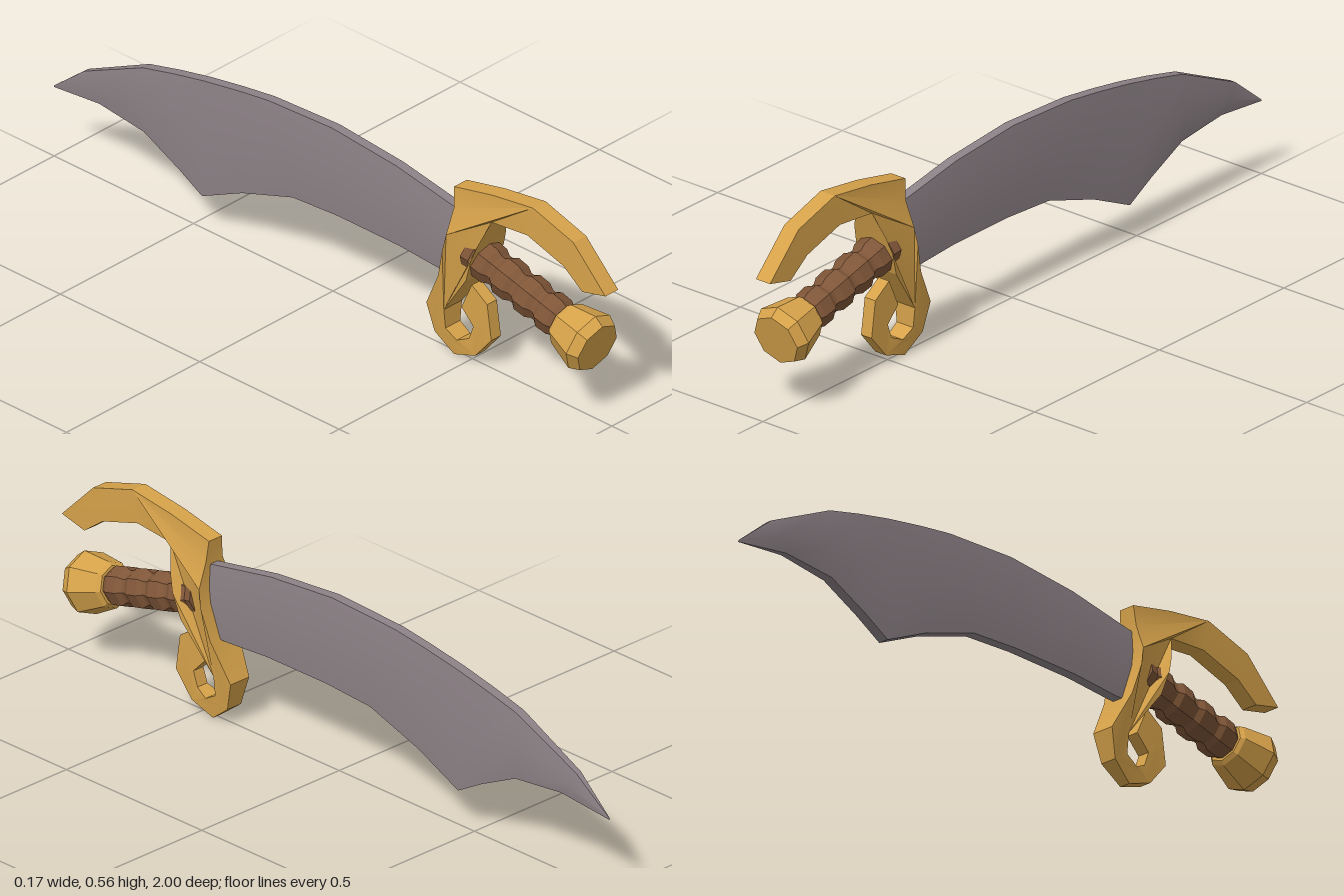
import * as THREE from 'three';
import { toCreasedNormals } from 'three/addons/utils/BufferGeometryUtils.js';

const gold = new THREE.MeshStandardMaterial({ color: 0xd6a24a });
gold.name = 'gold';
const steel = new THREE.MeshStandardMaterial({ color: 0x8d8287 });
steel.name = 'steel';
const leather = new THREE.MeshStandardMaterial({ color: 0x805638 });
leather.name = 'leather';

function addMesh(parent, name, geometry, material) {
  const mesh = new THREE.Mesh(geometry, material);
  mesh.name = name;
  parent.add(mesh);
  return mesh;
}

// Faceted eight-sided turned part; profile is [radius, distance along the axis]
function turned(profile) {
  const lathe = new THREE.LatheGeometry(profile.map(([r, s]) => new THREE.Vector2(r, s)), 8);
  return toCreasedNormals(lathe, 0.02);
}

// Blade: six-point sections, thickest at mid height, tapering to the tip
function bladeGeometry() {
  // [spine z, spine y, edge z, edge y, thickness scale]
  const stations = [
    [0.5, 0.43, 0.45, 0.235, 1],
    [0.46, 0.44, 0.4, 0.235, 1],
    [0.24, 0.48, 0.25, 0.245, 1],
    [0.01, 0.5, 0.03, 0.245, 1],
    [-0.22, 0.49, -0.13, 0.235, 1],
    [-0.33, 0.475, -0.31, 0.175, 1],
    [-0.45, 0.455, -0.455, 0.107, 1],
    [-0.56, 0.432, -0.54, 0.155, 1],
    [-0.67, 0.405, -0.665, 0.215, 0.95],
    [-0.885, 0.305, -0.83, 0.23, 0.6],
    [-1, 0.212, -1, 0.208, 0.05],
  ];
  const ring = [[0.014, 0], [0.024, 0.5], [0.015, 1], [-0.015, 1], [-0.024, 0.5], [-0.014, 0]];
  const positions = [];
  const index = [];
  stations.forEach(([zt, yt, zb, yb, k], i) => {
    ring.forEach(([x, f], j) => {
      positions.push(x * k, yt + (yb - yt) * f, zt + (zb - zt) * f);
      if (i === 0) return;
      const n = (j + 1) % 6;
      const a = (i - 1) * 6 + j, b = (i - 1) * 6 + n, c = i * 6 + n, d = i * 6 + j;
      index.push(a, b, d, b, c, d);
    });
  });
  const geometry = new THREE.BufferGeometry();
  geometry.setAttribute('position', new THREE.Float32BufferAttribute(positions, 3));
  geometry.setIndex(index);
  return toCreasedNormals(geometry, 0.5);
}

// Half width of the guard: slim on the bow and curl, swelling around the grip
function guardHalfWidth(z, y) {
  if (z > 0.6) return 0.024;
  if (z > 0.475 && y < 0.25) return 0.018;
  const steps = [[0, 0.016], [0.05, 0.025], [0.15, 0.036], [0.3, 0.06], [0.34, 0.062],
    [0.38, 0.057], [0.455, 0.028], [0.51, 0.024], [0.6, 0.024]];
  const i = Math.max(1, steps.findIndex((s) => s[0] >= y));
  const [y0, w0] = steps[i - 1];
  const [y1, w1] = steps[i];
  return w0 + ((w1 - w0) * (y - y0)) / (y1 - y0);
}

// Guard: one outline of knuckle bow, crosspiece and lower curl, given as [z, y]
function guardGeometry() {
  const outline = [
    [1, 0.4], [0.885, 0.515], [0.74, 0.56], [0.595, 0.54], [0.457, 0.51],
    [0.462, 0.45], [0.46, 0.38], [0.45, 0.33], [0.425, 0.24], [0.367, 0.13], [0.388, 0.048],
    [0.45, 0], [0.527, 0.027], [0.585, 0.096], [0.57, 0.198], [0.515, 0.235],
    [0.478, 0.155], [0.52, 0.112], [0.505, 0.07], [0.468, 0.053], [0.43, 0.075],
    [0.43, 0.133], [0.53, 0.27], [0.553, 0.34], [0.57, 0.39], [0.595, 0.46],
    [0.72, 0.47], [0.85, 0.43], [0.917, 0.38],
  ];
  const shape = new THREE.Shape(outline.map(([z, y]) => new THREE.Vector2(z, y)));
  const geometry = new THREE.ExtrudeGeometry(shape, { depth: 1, bevelEnabled: false });
  geometry.translate(0, 0, -0.5).rotateY(-Math.PI / 2);
  const p = geometry.attributes.position;
  for (let i = 0; i < p.count; i++) {
    p.setX(i, Math.sign(p.getX(i)) * guardHalfWidth(p.getZ(i), p.getY(i)));
  }
  return toCreasedNormals(geometry, 0.3);
}

export function createModel() {
  const sword = new THREE.Group();
  sword.name = 'curvedSword';
  addMesh(sword, 'blade', bladeGeometry(), steel);
  addMesh(sword, 'guard', guardGeometry(), gold);

  // Handle: built upright from the pommel end, then tilted towards the guard
  const handle = new THREE.Group();
  handle.name = 'handle';
  handle.position.set(0, 0.214, 0.948);
  handle.rotation.x = 0.255 - Math.PI / 2;
  sword.add(handle);

  addMesh(handle, 'pommel', turned([
    [0, 0], [0.073, 0], [0.087, 0.03], [0.064, 0.115], [0.054, 0.125], [0, 0.125],
  ]), gold);

  // Grip: four swollen bands of wrapping with narrow necks between them
  const grip = [[0.044, 0.11]];
  for (let i = 0; i < 4; i++) {
    const s = 0.125 + i * 0.08;
    grip.push([0.046, s], [0.055, s + 0.018], [0.056, s + 0.055], [0.046, s + 0.07]);
  }
  grip.push([0.05, 0.46], [0, 0.46]);
  addMesh(handle, 'grip', turned(grip), leather);

  return sword;
}
